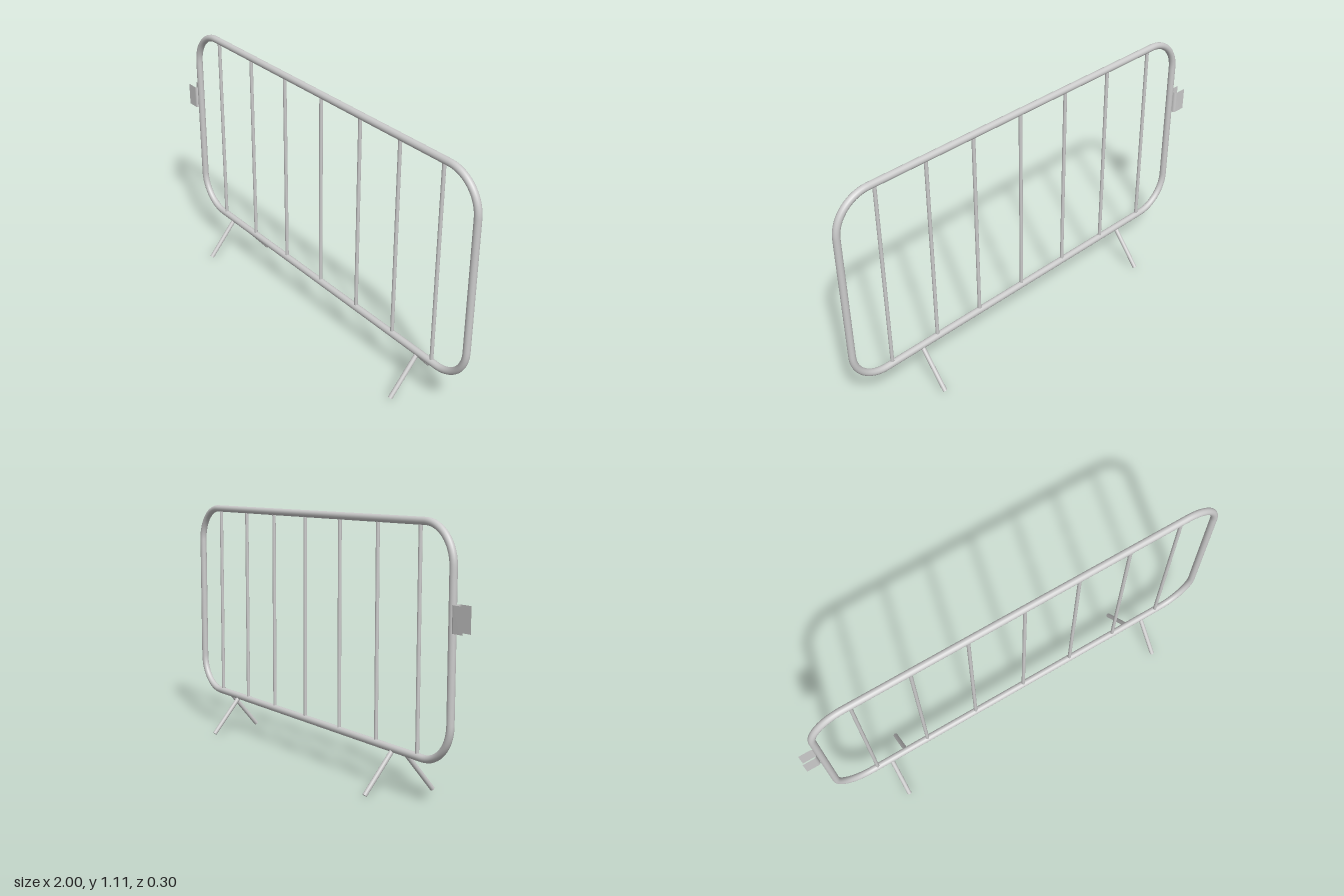
import * as THREE from 'three';

const material = new THREE.MeshStandardMaterial({ color: 0xcccccc });
const sheetMaterial = new THREE.MeshStandardMaterial({ color: 0xcccccc, side: THREE.DoubleSide });

const LEFT = 0.984, RIGHT = -0.92, TOP = 1.092, BOTTOM = 0.177;
const CORNER = 0.16, FRAME_RADIUS = 0.0155;

// Closed rounded rectangle along the centre of the frame pipe
function framePath() {
  const path = new THREE.CurvePath();
  const corners = [[RIGHT, BOTTOM], [LEFT, BOTTOM], [LEFT, TOP], [RIGHT, TOP]]
    .map(([x, y]) => new THREE.Vector3(x, y, 0));
  const towards = (a, b, d) => a.clone().add(b.clone().sub(a).setLength(d));
  const handle = CORNER * (1 - 0.5523);
  corners.forEach((corner, i) => {
    const next = corners[(i + 1) % 4], after = corners[(i + 2) % 4];
    const bendStart = towards(next, corner, CORNER);
    path.add(new THREE.LineCurve3(towards(corner, next, CORNER), bendStart));
    path.add(new THREE.CubicBezierCurve3(bendStart, towards(next, corner, handle),
      towards(next, after, handle), towards(next, after, CORNER)));
  });
  return path;
}

// Straight round rod between two points
function rod(name, from, to, radius) {
  const a = new THREE.Vector3(...from), b = new THREE.Vector3(...to);
  const direction = b.clone().sub(a);
  const mesh = new THREE.Mesh(new THREE.CylinderGeometry(radius, radius, direction.length(), 16), material);
  mesh.name = name;
  mesh.position.copy(a).add(b).multiplyScalar(0.5);
  mesh.quaternion.setFromUnitVectors(new THREE.Vector3(0, 1, 0), direction.normalize());
  return mesh;
}

// Thin sheet bent into a U, open away from the frame
function couplingHook() {
  const outline = new THREE.Path();
  const half = 0.02, bend = 0.014, back = -0.935;
  outline.moveTo(-1, half);
  outline.lineTo(back - bend, half);
  outline.quadraticCurveTo(back, half, back, half - bend);
  outline.lineTo(back, bend - half);
  outline.quadraticCurveTo(back, -half, back - bend, -half);
  outline.lineTo(-1, -half);
  const points = outline.getPoints(8);
  const positions = [], indices = [];
  points.forEach((p, i) => {
    positions.push(p.x, 0.69, p.y - 0.002, p.x, 0.795, p.y - 0.002);
    if (i > 0) {
      const k = 2 * i;
      indices.push(k - 2, k, k - 1, k, k + 1, k - 1);
    }
  });
  const geometry = new THREE.BufferGeometry();
  geometry.setAttribute('position', new THREE.Float32BufferAttribute(positions, 3));
  geometry.setIndex(indices);
  geometry.computeVertexNormals();
  const mesh = new THREE.Mesh(geometry, sheetMaterial);
  mesh.name = 'couplingHook';
  return mesh;
}

export function createModel() {
  const model = new THREE.Group();
  model.name = 'crowdBarrier';

  // Outer pipe
  const frame = new THREE.Mesh(new THREE.TubeGeometry(framePath(), 320, FRAME_RADIUS, 16, true), material);
  frame.name = 'frame';
  model.add(frame);

  // Upright bars
  const bars = new THREE.Group();
  bars.name = 'bars';
  for (const x of [-0.73, -0.467, -0.208, 0.052, 0.308, 0.55, 0.795]) {
    bars.add(rod('bar', [x, BOTTOM, 0], [x, TOP, 0], 0.008));
  }
  model.add(bars);

  // Splayed legs, alternating front and back
  const legs = new THREE.Group();
  legs.name = 'legs';
  for (const [x, side] of [[-0.66, 1], [-0.58, -1], [0.713, 1], [0.637, -1]]) {
    legs.add(rod(side > 0 ? 'frontLeg' : 'backLeg', [x, 0.174, 0], [x, 0.0065, side * 0.141], 0.01));
  }
  model.add(legs);

  model.add(couplingHook());
  return model;
}
